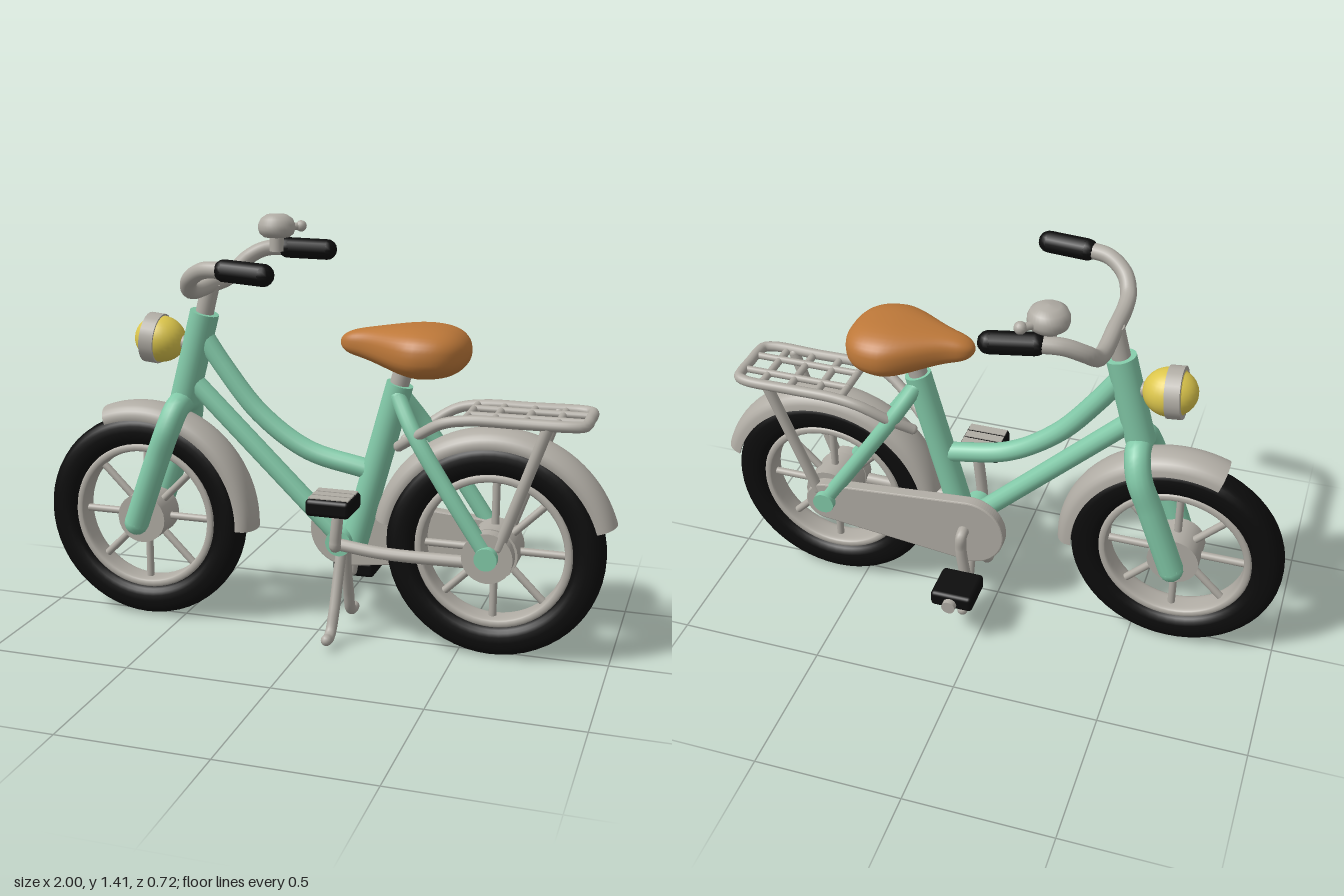
import * as THREE from 'three';
import { mergeGeometries, mergeVertices } from 'three/addons/utils/BufferGeometryUtils.js';
import { RoundedBoxGeometry } from 'three/addons/geometries/RoundedBoxGeometry.js';

const mat = (name, color, side = THREE.FrontSide) => {
  const m = new THREE.MeshStandardMaterial({ color, side });
  m.name = name;
  return m;
};
const V = (p) => new THREE.Vector3(...p);
const flipZ = (pts) => pts.map(([x, y, z]) => [x, y, -z]);

export function createModel() {
  const green = mat('mint paint', 0x82c9a8);
  const grey = mat('warm grey metal', 0xb0aca4, THREE.DoubleSide);
  const black = mat('black rubber', 0x0c0c0c);
  const tan = mat('tan leather', 0xbd7839);
  const yellow = mat('yellow lamp', 0xdcc64c);
  const bike = new THREE.Group();
  bike.name = 'bicycle';

  const add = (name, geo, material, pos = [0, 0, 0], parent = bike) => {
    const m = new THREE.Mesh(geo, material);
    m.name = name;
    m.position.set(...pos);
    parent.add(m);
    return m;
  };
  // Smooth tube through points, with rounded ends
  const tube = (name, pts, r, material, parent = bike) => {
    const v = pts.map(V);
    const curve = v.length === 2 ? new THREE.LineCurve3(v[0], v[1]) : new THREE.CatmullRomCurve3(v, false, 'centripetal');
    const parts = [new THREE.TubeGeometry(curve, v.length === 2 ? 1 : v.length * 7, r, 14)];
    for (const e of [v[0], v[v.length - 1]]) parts.push(new THREE.SphereGeometry(r, 14, 8).translate(e.x, e.y, e.z));
    return add(name, mergeGeometries(parts), material, [0, 0, 0], parent);
  };
  // Flat-ended straight bar between two points
  const rod = (name, a, b, r, material, parent = bike) => {
    const d = V(b).sub(V(a));
    const m = add(name, new THREE.CylinderGeometry(r, r, d.length(), 24), material, V(a).addScaledVector(d, 0.5).toArray(), parent);
    m.quaternion.setFromUnitVectors(new THREE.Vector3(0, 1, 0), d.normalize());
    return m;
  };
  const mirrored = (name, pts, r, material) => {
    tube(name + 'Left', pts, r, material);
    tube(name + 'Right', flipZ(pts), r, material);
  };
  // Ring with a rounded-rectangle section, turned about z
  const ring = (rMid, rHalf, zHalf, power) => {
    const pts = [];
    const f = (c) => Math.sign(c) * Math.abs(c) ** power;
    for (let i = 0; i <= 24; i++) {
      const t = (i / 24) * Math.PI * 2;
      pts.push(new THREE.Vector2(rMid + rHalf * f(Math.cos(t)), zHalf * f(Math.sin(t))));
    }
    return new THREE.LatheGeometry(pts, 56).rotateX(Math.PI / 2);
  };

  // Wheels with fenders
  const wheel = (name, x, from, to) => {
    const g = new THREE.Group();
    g.name = name;
    g.position.set(x, 0.365, 0);
    bike.add(g);
    add('tyre', ring(0.311, 0.054, 0.06, 0.75), black, [0, 0, 0], g);
    add('rim', ring(0.25, 0.016, 0.045, 0.6), grey, [0, 0, 0], g);
    rod('hub', [0, 0, -0.065], [0, 0, 0.065], 0.088, grey, g);
    for (let i = 0; i < 8; i++) {
      const a = (i * Math.PI) / 4;
      rod('spoke', [0, 0, 0], [0.245 * Math.cos(a), 0.245 * Math.sin(a), 0], 0.013, grey, g);
    }
    const prof = [];
    const arc = (t, k) => new THREE.Vector2(0.35 + (0.063 - k) * Math.cos(t) ** 0.7, (0.072 - k) * Math.sin(t));
    for (let i = 0; i <= 14; i++) prof.push(arc((i / 14 - 0.5) * 3.1, 0));
    for (let i = 14; i >= 0; i--) prof.push(arc((i / 14 - 0.5) * 3.1, 0.008));
    prof.push(prof[0].clone());
    const rad = Math.PI / 180;
    add('fender', new THREE.LatheGeometry(prof, 40, (from + 90) * rad, (to - from) * rad).rotateX(Math.PI / 2), grey, [0, 0, 0], g);
  };
  wheel('frontWheel', -0.635, -2, 111);
  wheel('rearWheel', 0.61, 17, 169);

  // Frame
  rod('headTube', [-0.487, 0.79, 0], [-0.405, 1.1, 0], 0.05, green);
  tube('topTube', [[-0.41, 1.02, 0], [-0.34, 0.92, 0], [-0.21, 0.765, 0], [-0.04, 0.65, 0], [0.17, 0.6, 0]], 0.034, green);
  tube('downTube', [[-0.45, 0.86, 0], [0.09, 0.34, 0]], 0.034, green);
  rod('seatTube', [0.13, 0.34, 0], [0.28, 0.9, 0], 0.045, green);
  rod('bottomBracket', [0.09, 0.35, -0.07], [0.09, 0.35, 0.07], 0.045, green);
  mirrored('forkLeg', [[-0.485, 0.79, 0], [-0.49, 0.775, 0.06], [-0.508, 0.71, 0.098], [-0.55, 0.6, 0.1], [-0.637, 0.36, 0.098]], 0.043, green);
  mirrored('seatStay', [[0.28, 0.86, 0.025], [0.35, 0.75, 0.075], [0.46, 0.585, 0.095], [0.605, 0.37, 0.1]], 0.027, green);
  tube('chainStay', [[0.09, 0.35, 0.075], [0.25, 0.338, 0.085], [0.6, 0.34, 0.085]], 0.021, grey);
  rod('rearHubPlate', [0.605, 0.365, 0.06], [0.605, 0.365, 0.11], 0.085, grey);
  for (const s of [1, -1]) rod('axleCap', [0.605, 0.37, s * 0.09], [0.605, 0.37, s * 0.137], 0.038, green);

  // Chain guard: two circles joined by tangents
  const guard = new THREE.Shape();
  guard.absarc(0.075, 0.35, 0.123, 1.47, Math.PI * 2 - 1.47, false);
  guard.absarc(0.605, 0.36, 0.07, -1.47, 1.47, false);
  guard.closePath();
  add('chainGuard', new THREE.ExtrudeGeometry(guard, { depth: 0.034, bevelSize: 0.005, bevelThickness: 0.005, bevelSegments: 2, curveSegments: 24 }), grey, [0, 0, -0.107]);

  // Cranks and pedals
  const pedal = (name, x, y, z, s) => {
    const cz = s > 0 ? 0.105 : -0.137;
    tube(name + 'Crank', [[0.09, 0.35, s * 0.04], [0.09, 0.35, cz * 0.97], [0.092, 0.335 + 0.04 * s, cz], [x, y, cz]], 0.02, grey);
    rod(name + 'Axle', [x, y, cz], [x, y, z + s * (s > 0 ? 0.07 : 0.095)], 0.014, grey);
    add(name, new RoundedBoxGeometry(0.15, 0.058, 0.145, 3, 0.015), black, [x, y, z]);
    if (s > 0) for (const dz of [-0.042, 0, 0.042]) add('pedalTread', new THREE.BoxGeometry(0.135, 0.008, 0.034), grey, [x, y + 0.028, z + dz]);
    else rod('pedalEndCap', [x, y, z - 0.08], [x, y, z - 0.1], 0.024, grey);
  };
  pedal('leftPedal', 0.107, 0.525, 0.178, 1);
  pedal('rightPedal', 0.078, 0.182, -0.222, -1);

  // Two-legged stand
  mirrored('standLeg', [[0.09, 0.33, 0.02], [0.085, 0.22, 0.05], [0.083, 0.12, 0.085], [0.08, 0.05, 0.115], [0.08, 0.035, 0.14], [0.08, 0.037, 0.165]], 0.019, grey);

  // Handlebar, grips and bell
  rod('stem', [-0.41, 1.08, 0], [-0.38, 1.2, 0], 0.031, grey);
  const half = [[-0.38, 1.195, 0.14], [-0.375, 1.21, 0.2], [-0.35, 1.25, 0.25], [-0.29, 1.285, 0.285], [-0.2, 1.29, 0.305]];
  tube('handlebar', [...flipZ(half).reverse(), [-0.38, 1.195, 0], ...half], 0.027, grey);
  for (const s of [1, -1]) tube('grip', [[-0.21, 1.29, s * 0.302], [-0.075, 1.285, s * 0.325]], 0.036, black);
  const bell = new THREE.Group();
  bell.name = 'bell';
  bell.position.set(-0.24, 1.33, -0.268);
  bike.add(bell);
  const bellProfile = [[0, 0], [0.045, 0], [0.06, 0.012], [0.065, 0.028], [0.064, 0.045], [0.055, 0.064], [0.035, 0.077], [0, 0.081]];
  add('bellDome', new THREE.LatheGeometry(bellProfile.map((p) => new THREE.Vector2(...p)), 32), grey, [0, 0, 0], bell);
  rod('bellMount', [0, -0.05, 0], [0, 0.01, 0], 0.025, grey, bell);
  tube('bellLever', [[0.03, 0.03, -0.04], [0.065, 0.032, -0.075]], 0.013, grey, bell);
  add('leverTip', new THREE.SphereGeometry(0.02, 14, 10), grey, [0.065, 0.032, -0.073], bell);

  // Headlamp: lens, rim and round housing, facing forward
  const lamp = new THREE.Group();
  lamp.name = 'headlamp';
  lamp.position.set(-0.57, 1.0, 0);
  lamp.rotation.z = -0.1;
  bike.add(lamp);
  rod('lampRim', [-0.045, 0, 0], [0.005, 0, 0], 0.086, grey, lamp);
  add('lampHousing', new THREE.SphereGeometry(0.08, 28, 18).scale(1.12, 1, 1), yellow, [0, 0, 0], lamp);
  add('lampLens', new THREE.SphereGeometry(0.072, 28, 14).scale(0.16, 1, 1), yellow, [-0.043, 0, 0], lamp);
  rod('lampBracket', [0.06, 0, 0], [0.13, 0, 0], 0.025, grey, lamp);

  // Saddle: a sphere reshaped to a narrow nose and wide tail
  rod('seatPost', [0.27, 0.87, 0], [0.3, 0.98, 0], 0.032, grey);
  const seat = new THREE.SphereGeometry(1, 40, 32).rotateZ(Math.PI / 2);
  const p = seat.attributes.position;
  const soft = (c) => Math.sign(c) * Math.abs(c) ** 0.8;
  for (let i = 0; i < p.count; i++) {
    const u = THREE.MathUtils.clamp(p.getX(i), -1, 1);
    const x = 0.295 + 0.217 * u;
    const k = Math.hypot(p.getY(i), p.getZ(i)) || 1;
    const end = Math.sqrt(Math.max(0, 1 - u ** 4));
    const wide = THREE.MathUtils.smoothstep(x, 0.13, 0.37);
    const cy = 1.03 - 0.014 * wide;
    p.setXYZ(i, x, cy + soft(p.getY(i) / k) * end * (0.052 + 0.034 * wide), soft(p.getZ(i) / k) * end * (0.06 + 0.106 * wide));
  }
  seat.deleteAttribute('uv');
  seat.deleteAttribute('normal');
  const saddle = mergeVertices(seat, 1e-5);
  saddle.computeVertexNormals();
  add('saddle', saddle, tan);

  // Luggage rack
  mirrored('rackRail', [[0.29, 0.7, 0.045], [0.36, 0.75, 0.085], [0.45, 0.805, 0.112], [0.54, 0.822, 0.115], [0.7, 0.824, 0.115], [0.86, 0.826, 0.115], [0.895, 0.826, 0.1], [0.902, 0.826, 0.07], [0.902, 0.826, 0]], 0.018, grey);
  for (const x of [0.52, 0.61, 0.71, 0.81]) tube('rackCrossbar', [[x, 0.822, -0.113], [x, 0.822, 0.113]], 0.013, grey);
  for (const z of [-0.045, 0.045]) tube('rackSlat', [[0.52, 0.824, z], [0.9, 0.826, z]], 0.012, grey);
  mirrored('rackStrut', [[0.785, 0.815, 0.112], [0.64, 0.4, 0.095]], 0.019, grey);

  return bike;
}
